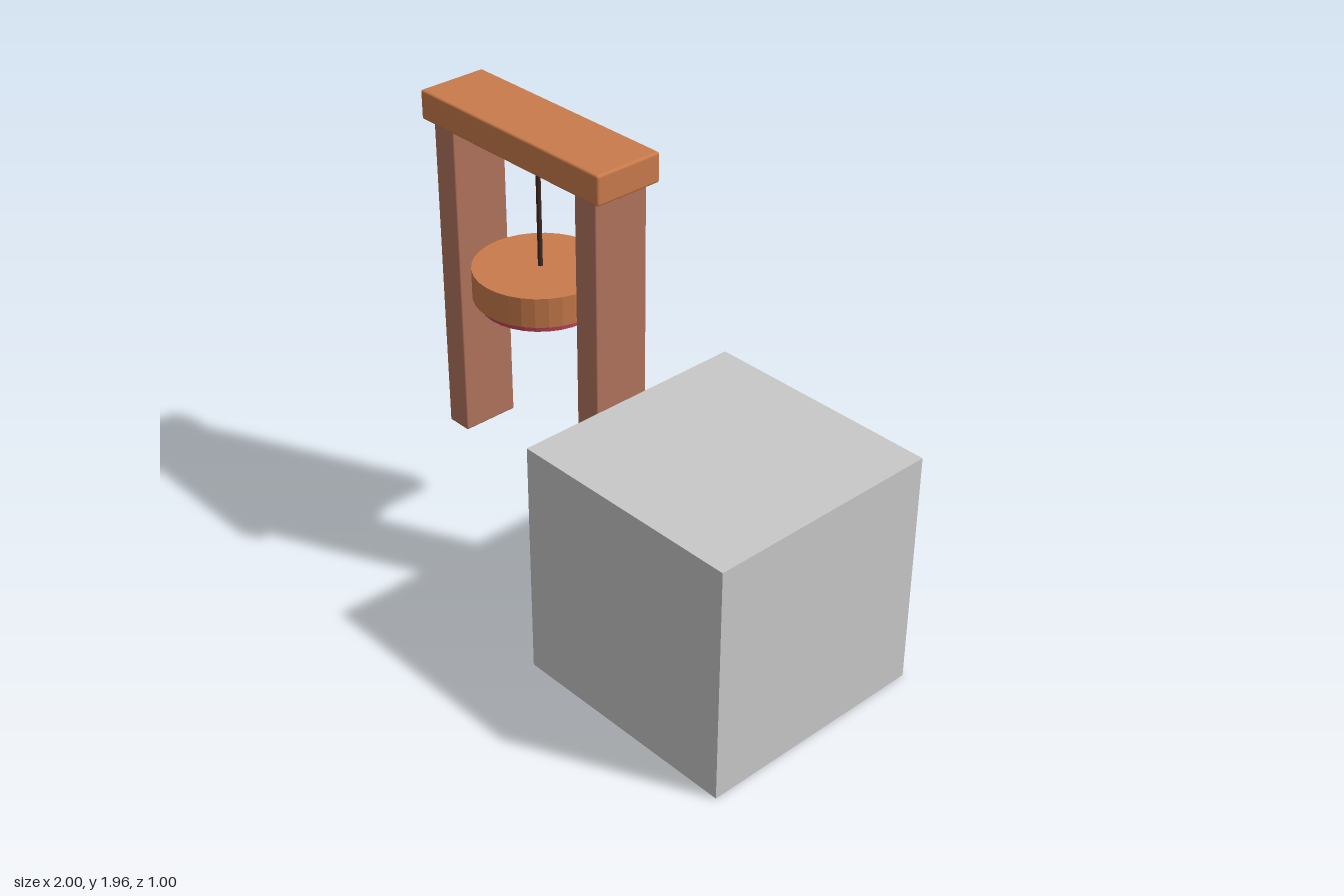
import * as THREE from 'three';
import { RoundedBoxGeometry } from 'three/addons/geometries/RoundedBoxGeometry.js';

function material(name, color, flatShading = false) {
  const m = new THREE.MeshStandardMaterial({ color, flatShading });
  m.name = name;
  return m;
}

export function createModel() {
  const model = new THREE.Group();
  model.name = 'hangingPressFrame';

  const stone = material('stoneGrey', 0xc8c8c8);
  const copper = material('copperOrange', 0xc97b4b, true);
  const clay = material('clayBrown', 0xb1735c);
  const red = material('padRed', 0xb84455, true);
  const dark = material('darkBrown', 0x3e2a23, true);

  const add = (name, geometry, mat, x, y, z, parent = model) => {
    const mesh = new THREE.Mesh(geometry, mat);
    mesh.name = name;
    mesh.position.set(x, y, z);
    parent.add(mesh);
    return mesh;
  };

  // Plain block beside the frame
  add('block', new THREE.BoxGeometry(1, 1, 1), stone, 0.5, 0.5, 0);

  // Frame: two posts under a beam with softened edges
  const frame = new THREE.Group();
  frame.name = 'frame';
  frame.position.x = -0.5;
  model.add(frame);
  add('beam', new RoundedBoxGeometry(0.996, 0.12, 0.296, 2, 0.01), copper, 0, 1.902, 0, frame);
  const postGeometry = new RoundedBoxGeometry(0.112, 1.342, 0.246, 2, 0.007);
  for (const side of [-1, 1]) {
    add(side > 0 ? 'leftPost' : 'rightPost', postGeometry, clay, side * 0.4, 1.174, 0, frame);
  }

  // Row of hexagonal bolts along the back of the beam
  const boltGeometry = new THREE.CylinderGeometry(0.0185, 0.0185, 0.03, 6).rotateX(Math.PI / 2);
  for (let i = 0; i < 5; i++) {
    add('bolt' + (i + 1), boltGeometry, dark, -0.4 + i * 0.2, 1.9, -0.155, frame);
  }

  // Hanging weight: rod, disc and pad
  const weight = new THREE.Group();
  weight.name = 'hangingWeight';
  weight.position.x = -0.5;
  model.add(weight);
  add('rod', new THREE.CylinderGeometry(0.0095, 0.0095, 0.5, 8), dark, 0, 1.6, 0, weight);
  add('disc', new THREE.CylinderGeometry(0.2625, 0.2625, 0.122, 32), copper, 0, 1.301, 0, weight);
  add('pad', new THREE.CylinderGeometry(0.238, 0.238, 0.024, 32), red, 0, 1.221, 0, weight);

  return model;
}
